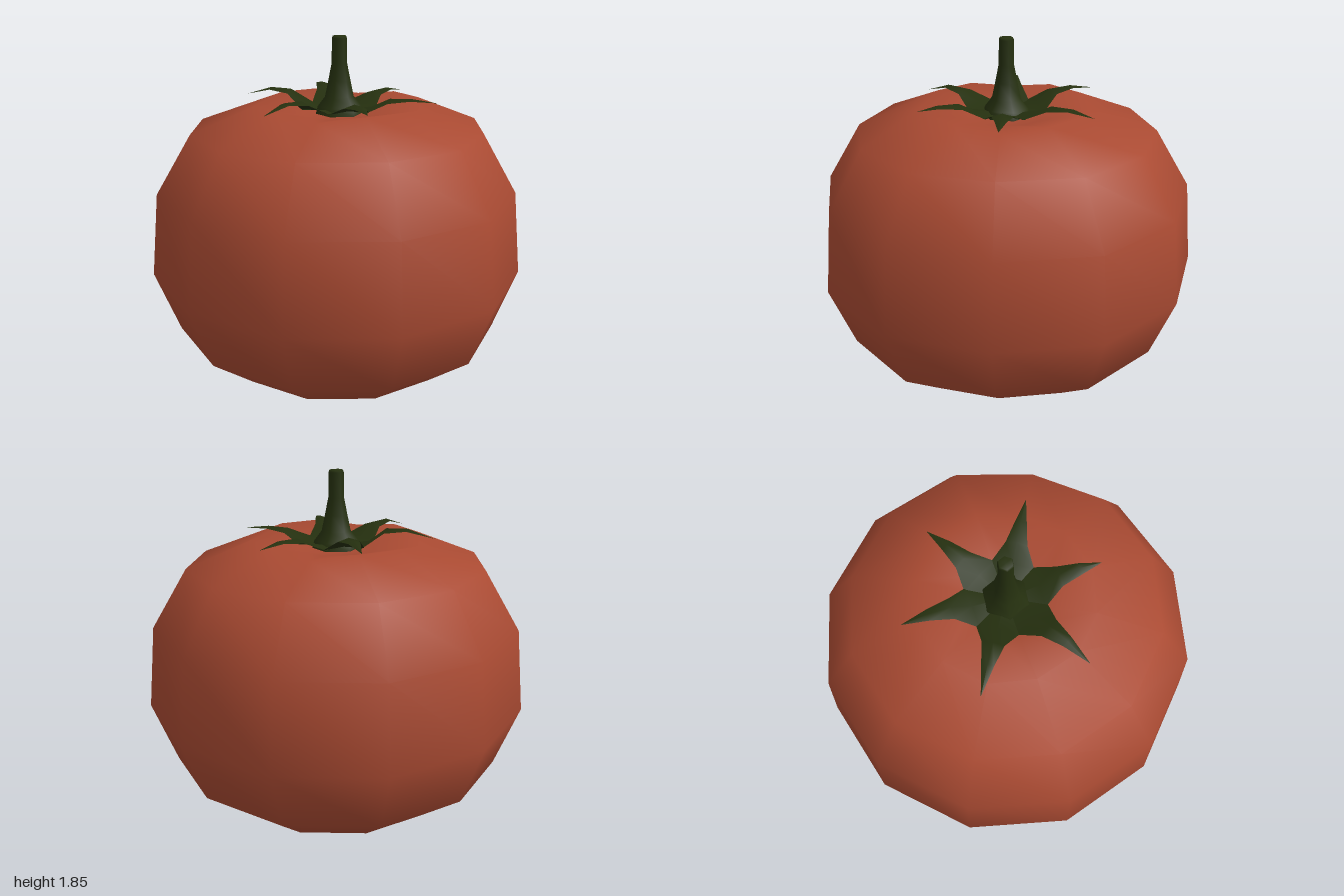
import * as THREE from 'three';
import { mergeVertices } from 'three/addons/utils/BufferGeometryUtils.js';

const red = new THREE.MeshStandardMaterial({ color: 0xa94a32 });
red.name = 'tomatoRed';
const green = new THREE.MeshStandardMaterial({ color: 0x25300f, side: THREE.DoubleSide });
green.name = 'stemGreen';

function lathe(profile, sides, phiStart) {
  return new THREE.LatheGeometry(profile.map(([r, y]) => new THREE.Vector2(r, y)), sides, phiStart);
}

// Twelve-sided fruit with a dimpled top and four shallow dips in its rim
function makeFruit() {
  const raw = lathe([
    [0, 0.005], [0.345, 0.03], [0.655, 0.12], [0.895, 0.315], [1.018, 0.65],
    [0.97, 1.085], [0.785, 1.385], [0.445, 1.518], [0.2, 1.455], [0, 1.43],
  ], 12, THREE.MathUtils.degToRad(11));
  raw.deleteAttribute('uv');
  raw.deleteAttribute('normal');
  const geo = mergeVertices(raw, 1e-4);
  const p = geo.attributes.position;
  for (let i = 0; i < p.count; i++) {
    const x = p.getX(i), y = p.getY(i), z = p.getZ(i);
    const angle = Math.atan2(z, x) - THREE.MathUtils.degToRad(49);
    if (y > 1.5) p.setY(i, y - 0.028 * Math.max(0, Math.cos(4 * angle)));
    // one facet corner is slightly flattened
    if (Math.abs(angle) < 0.1) p.setXYZ(i, x * 0.965, p.getY(i), z * 0.965);
  }
  geo.computeVertexNormals();
  return new THREE.Mesh(geo, red);
}

// Leaf: rows of left edge, raised midrib, right edge, running out to a tip
function makeSepal([tx, ty, tz], peak) {
  const length = Math.hypot(tx, tz), dx = tx / length, dz = tz / length;
  const rows = [ // distance, half width, edge height, midrib lift
    [0, 0.002, 1.47, 0], [0.17, 0.108, 1.482, 0.014],
    [0.27, 0.054, peak - 0.02, 0.018], [0.38, 0.03, peak - 0.008, 0.01],
    [length, 0.001, ty, 0],
  ];
  const pos = [], index = [];
  rows.forEach(([d, w, y, lift], i) => {
    for (const s of [-1, 0, 1]) {
      pos.push(dx * d - dz * w * s, y + (s === 0 ? lift : 0), dz * d + dx * w * s);
    }
    if (i === 0) return;
    for (let k = 0; k < 2; k++) {
      const a = (i - 1) * 3 + k, b = a + 3;
      index.push(a, a + 1, b, a + 1, b + 1, b);
    }
  });
  const geo = new THREE.BufferGeometry();
  geo.setAttribute('position', new THREE.Float32BufferAttribute(pos, 3));
  geo.setIndex(index);
  geo.computeVertexNormals();
  return new THREE.Mesh(geo, green);
}

export function createModel() {
  const model = new THREE.Group();
  model.name = 'tomato';

  const fruit = makeFruit();
  fruit.name = 'fruit';
  model.add(fruit);

  // Six-sided stem, flared at the foot and closed on top
  const stem = new THREE.Mesh(lathe([
    [0.125, 1.455], [0.115, 1.495], [0.076, 1.545], [0.058, 1.63],
    [0.04, 1.72], [0.039, 1.845], [0.034, 1.857], [0, 1.857],
  ], 6, 0.05), green);
  stem.name = 'stem';
  model.add(stem);

  // Star of six leaves around the stem
  const calyx = new THREE.Group();
  calyx.name = 'calyx';
  const tips = [
    [[0.5, 1.52, -0.1], 1.545], [[0.17, 1.54, -0.485], 1.565],
    [[-0.33, 1.535, -0.4], 1.575], [[-0.51, 1.51, 0.095], 1.555],
    [[-0.16, 1.535, 0.46], 1.55], [[0.335, 1.53, 0.39], 1.545],
  ];
  tips.forEach(([tip, peak], i) => {
    const sepal = makeSepal(tip, peak);
    sepal.name = `sepal${i + 1}`;
    calyx.add(sepal);
  });
  model.add(calyx);
  return model;
}
